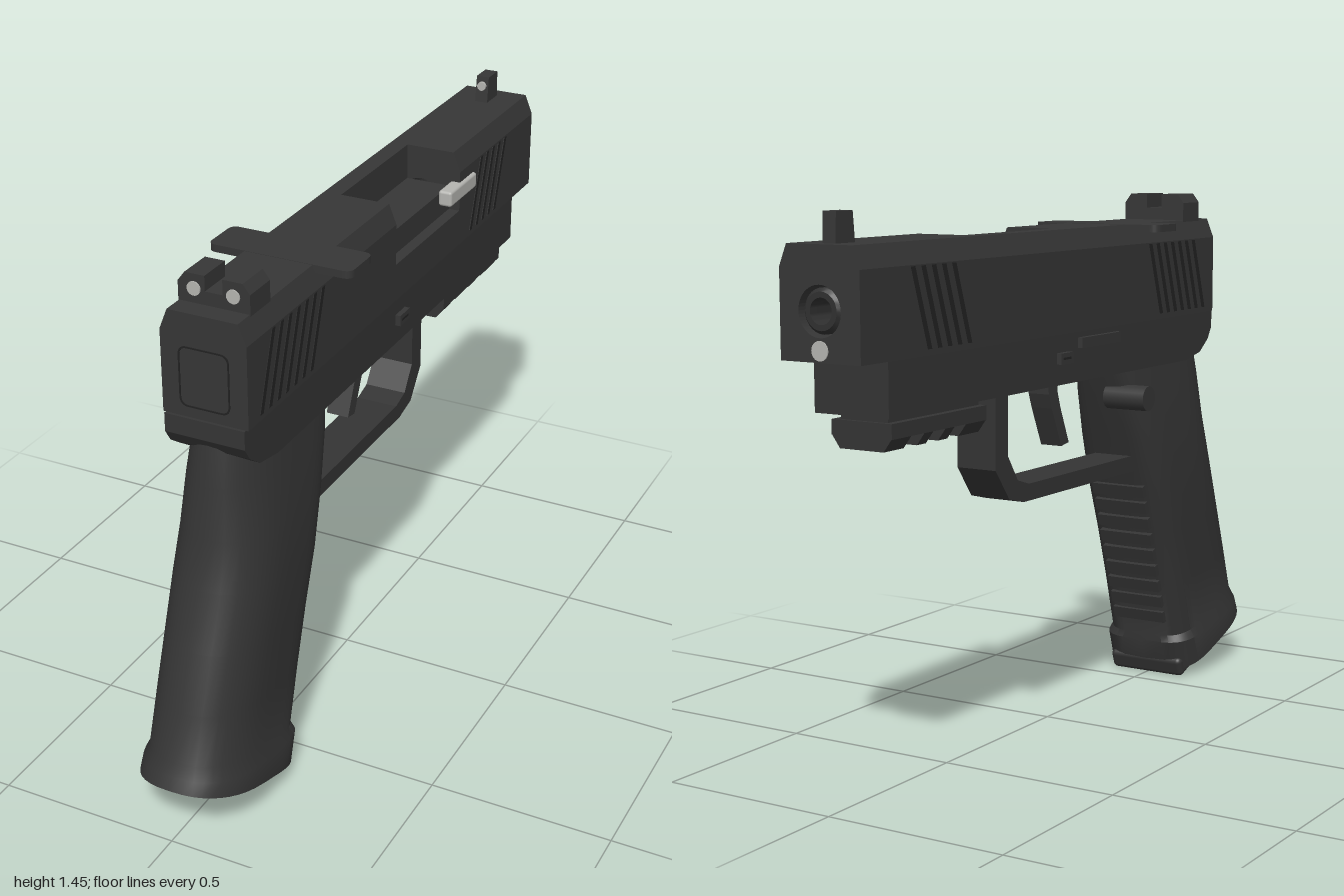
import * as THREE from 'three';
import { toCreasedNormals } from 'three/addons/utils/BufferGeometryUtils.js';
import { RoundedBoxGeometry } from 'three/addons/geometries/RoundedBoxGeometry.js';

const mat = (name, color, side = THREE.FrontSide) => {
  const m = new THREE.MeshStandardMaterial({ color, side });
  m.name = name;
  return m;
};

export function createModel() {
  const root = new THREE.Group();
  const steel = mat('dark steel', 0x363636);
  const polymer = mat('dark polymer', 0x343434);
  const groove = mat('groove black', 0x222222, THREE.DoubleSide);
  const silver = mat('bare metal', 0xb4b4b0);

  const add = (name, geo, material, parent = root) => {
    const m = new THREE.Mesh(geo, material);
    m.name = name;
    parent.add(m);
    return m;
  };
  // box given by its x, y and z limits
  const box = (name, material, x0, x1, y0, y1, z0, z1) => {
    const m = add(name, new THREE.BoxGeometry(x1 - x0, y1 - y0, z1 - z0), material);
    m.position.set((x0 + x1) / 2, (y0 + y1) / 2, (z0 + z1) / 2);
    return m;
  };
  const shapeOf = (pts) => new THREE.Shape(pts.map(([a, b]) => new THREE.Vector2(a, b)));
  // side profile (z, y) given thickness across x
  const sideExtrude = (pts, width, x = 0) => {
    const g = new THREE.ExtrudeGeometry(shapeOf(pts), { depth: width, bevelEnabled: false });
    return g.translate(0, 0, -width / 2).rotateY(-Math.PI / 2).translate(x, 0, 0);
  };
  // cross-section (x, y) swept from z0 to z1
  const slideExtrude = (shape, z0, z1) =>
    new THREE.ExtrudeGeometry(shape, { depth: z1 - z0, bevelEnabled: false, curveSegments: 24 }).translate(0, 0, z0);
  const rodZ = (name, material, r, x, y, z0, z1) => {
    const g = new THREE.CylinderGeometry(r, r, z1 - z0, 24).rotateX(Math.PI / 2);
    return add(name, g.translate(x, y, (z0 + z1) / 2), material);
  };

  // Slide: rear, cut-out and front lengths
  const section = [[-0.117, 1.105], [0.117, 1.105], [0.117, 1.325], [0.095, 1.38], [-0.095, 1.38], [-0.117, 1.325]];
  add('slideRear', slideExtrude(shapeOf(section), -0.055, 0.755), steel);
  add('slidePort', slideExtrude(shapeOf([[-0.117, 1.105], [0.117, 1.105], [0.117, 1.21], [0.085, 1.21],
    [0.085, 1.28], [-0.045, 1.28], [-0.045, 1.38], [-0.095, 1.38], [-0.117, 1.325]]), -0.47, -0.055), steel);
  const frontShape = shapeOf(section);
  frontShape.holes.push(new THREE.Path().absarc(0, 1.225, 0.062, 0, Math.PI * 2, true));
  add('slideFront', slideExtrude(frontShape, -1, -0.47), steel);

  // Barrel end and guide rod
  const barrel = [[0.032, 0], [0.032, 0.15], [0.055, 0.15], [0.055, 0.01], [0.046, 0], [0.032, 0]]
    .map(([r, h]) => new THREE.Vector2(r, h));
  const barrelGeo = toCreasedNormals(new THREE.LatheGeometry(barrel, 28), 0.5);
  const barrelMat = mat('barrel steel', 0x303030, THREE.DoubleSide);
  add('barrel', barrelGeo.rotateX(Math.PI / 2).translate(0, 1.225, -0.995), barrelMat);
  rodZ('boreBack', groove, 0.06, 0, 1.225, -0.88, -0.87);
  rodZ('guideRod', silver, 0.024, 0, 1.133, -1.003, -0.97);
  const chamber = add('extractor', new RoundedBoxGeometry(0.04, 0.045, 0.178, 2, 0.008), silver);
  chamber.position.set(0.107, 1.272, -0.478);

  // Slanted serrations on both sides
  const serrate = (start, count, step) => {
    for (let i = 0; i < count; i++) {
      const z = start - i * step;
      for (const s of [-1, 1]) {
        add('serration', sideExtrude([[z, 1.12], [z - 0.016, 1.12], [z - 0.083, 1.322], [z - 0.067, 1.322]],
          0.004, s * 0.117), groove);
      }
    }
  };
  serrate(0.70, 7, 0.043);
  serrate(-0.545, 5, 0.043);

  // Back plate outline
  const outline = (w, h, r) => {
    const s = new THREE.Shape();
    s.moveTo(-w + r, -h).lineTo(w - r, -h).quadraticCurveTo(w, -h, w, -h + r).lineTo(w, h - r)
      .quadraticCurveTo(w, h, w - r, h).lineTo(-w + r, h).quadraticCurveTo(-w, h, -w, h - r)
      .lineTo(-w, -h + r).quadraticCurveTo(-w, -h, -w + r, -h);
    return s;
  };
  const rim = outline(0.069, 0.08, 0.025);
  rim.holes.push(outline(0.065, 0.076, 0.022));
  add('backPlateRim', slideExtrude(rim, 0.753, 0.757), groove).position.y = 1.213;

  // Cross handle plate
  const handle = new THREE.ExtrudeGeometry(outline(0.2, 0.063, 0.025), { depth: 0.02, bevelEnabled: false });
  add('crossHandle', handle.rotateX(-Math.PI / 2).translate(0, 1.361, 0.318), steel);

  // Sights
  const rearSight = shapeOf([[-0.097, 1.375], [0.097, 1.375], [0.097, 1.43], [0.078, 1.455], [0.024, 1.455],
    [0.024, 1.415], [-0.024, 1.415], [-0.024, 1.455], [-0.078, 1.455], [-0.097, 1.43]]);
  add('rearSight', slideExtrude(rearSight, 0.6, 0.697), steel);
  for (const s of [-1, 1]) rodZ('rearSightDot', silver, 0.018, s * 0.053, 1.418, 0.69, 0.701);
  add('frontSight', sideExtrude([[-0.885, 1.375], [-0.96, 1.375], [-0.957, 1.455], [-0.893, 1.455]], 0.038), steel);
  rodZ('frontSightDot', silver, 0.013, 0, 1.428, -0.9, -0.882);

  // Frame under the slide
  add('frame', sideExtrude([[0.763, 1.105], [0.763, 1.055], [0.74, 1.02], [0.69, 0.985], [0.6, 0.968],
    [-0.885, 0.968], [-0.885, 1.105]], 0.22), polymer);
  for (const s of [-1, 1]) {
    box('takedownTab', steel, s * 0.115 - 0.01, s * 0.115 + 0.01, 1.025, 1.055, -0.13, -0.07);
    box('takedownRecess', groove, s * 0.124 - 0.002, s * 0.124 + 0.002, 1.037, 1.043, -0.12, -0.08);
  }
  box('slideStop', steel, -0.124, -0.1, 1.06, 1.088, -0.02, 0.19);

  // Accessory rail
  box('railNeck', polymer, -0.07, 0.07, 0.93, 0.97, -0.835, -0.445);
  box('railPlate', polymer, -0.09, 0.09, 0.912, 0.95, -0.847, -0.44);
  for (const [z0, z1] of [[-0.53, -0.44], [-0.62, -0.58], [-0.71, -0.672], [-0.847, -0.765]]) {
    add('railTooth', slideExtrude(shapeOf([[-0.09, 0.914], [-0.065, 0.88], [0.065, 0.88], [0.09, 0.914]]), z0, z1), polymer);
  }

  // Trigger guard and trigger
  add('triggerGuard', sideExtrude([[0.41, 0.662], [-0.215, 0.662], [-0.287, 0.68], [-0.352, 0.765], [-0.352, 0.98],
    [-0.292, 0.98], [-0.292, 0.795], [-0.245, 0.725], [-0.19, 0.708], [0.41, 0.708]], 0.12), polymer);
  add('trigger', sideExtrude([[0.005, 0.98], [-0.048, 0.98], [-0.045, 0.93], [-0.03, 0.89], [0.02, 0.78],
    [0.06, 0.786], [0.015, 0.89], [0, 0.935]], 0.065), steel);

  // Grip: lofted rings, round at the back and squarer at the front
  const rings = [ // back z, back y, front z, front y, half width
    [0.745, 1.06, 0.262, 0.99, 0.1], [0.768, 0.93, 0.295, 0.89, 0.116], [0.783, 0.79, 0.345, 0.76, 0.131],
    [0.818, 0.66, 0.398, 0.61, 0.139], [0.872, 0.51, 0.45, 0.46, 0.138], [0.925, 0.36, 0.5, 0.3, 0.138],
    [0.966, 0.235, 0.548, 0.135, 0.139], [0.985, 0.2, 0.543, 0.115, 0.153], [1.0, 0.168, 0.573, 0.028, 0.155]];
  const N = 40, pos = [], idx = [];
  for (const [zb, yb, zf, yf, w] of rings) {
    for (let i = 0; i < N; i++) {
      const a = (i / N) * Math.PI * 2, c = Math.cos(a), s = Math.sin(a);
      const e = c > 0 ? 2 / 2.5 : 2 / 4.5; // c > 0 is the back half
      const t = Math.sign(c) * Math.abs(c) ** e, u = Math.sign(s) * Math.abs(s) ** e;
      pos.push(u * w, (yb + yf) / 2 + t * (yb - yf) / 2, (zb + zf) / 2 + t * (zb - zf) / 2);
    }
  }
  for (let r = 0; r < rings.length - 1; r++) {
    for (let i = 0; i < N; i++) {
      const a = r * N + i, b = r * N + (i + 1) % N;
      idx.push(a, a + N, b, b, a + N, b + N);
    }
  }
  const last = (rings.length - 1) * N;
  pos.push(0, 0.098, 0.7865);
  for (let i = 0; i < N; i++) idx.push(last + i, rings.length * N, last + (i + 1) % N);
  const gripGeo = new THREE.BufferGeometry();
  gripGeo.setAttribute('position', new THREE.Float32BufferAttribute(pos, 3));
  gripGeo.setIndex(idx);
  add('grip', toCreasedNormals(gripGeo, 0.6), polymer);

  // Ridges down the front strap
  for (let i = 0; i < 9; i++) {
    const t = i / 8;
    const m = add('frontStrapRidge', new THREE.BoxGeometry(0.17, 0.035, 0.02), polymer);
    m.position.set(0, 0.6 - t * 0.4, 0.402 + t * 0.131);
    m.rotation.x = -0.32;
  }

  // Magazine base plate and release button
  const base = add('magazineBase', new RoundedBoxGeometry(0.24, 0.06, 0.34, 3, 0.015), polymer);
  base.position.set(0, 0.089, 0.73);
  base.rotation.x = -0.34;
  const button = new THREE.CylinderGeometry(0.036, 0.036, 0.13, 24).rotateZ(Math.PI / 2);
  add('magazineRelease', button.translate(-0.084, 0.888, 0.307), steel);

  return root;
}
